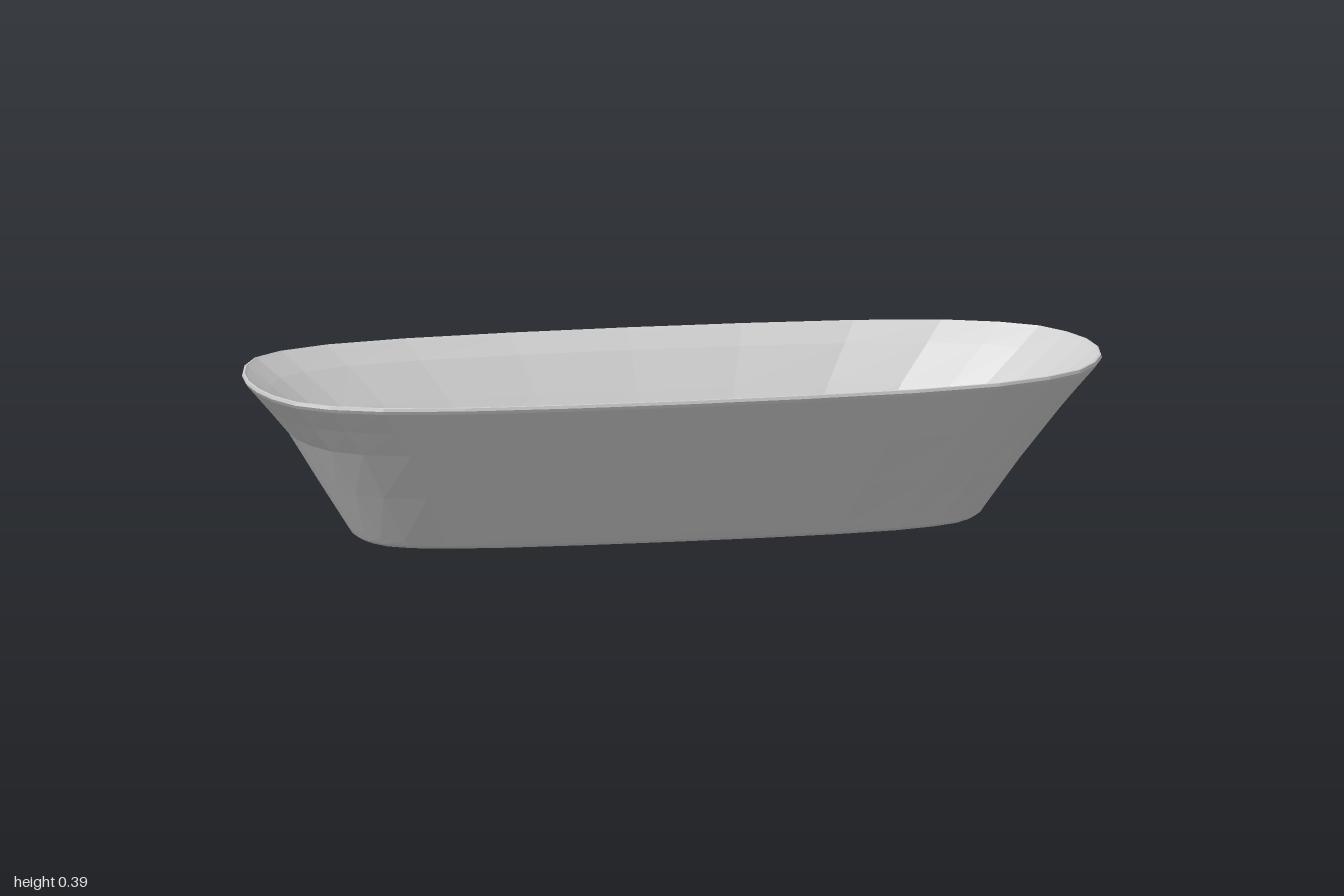
import * as THREE from 'three';

// Rim outline of the rear half as [x, z] fractions, from the right end round to
// the left end, which is a little blunter
const HALF = [
  [1, 0], [0.99, 0.22], [0.96, 0.42], [0.91, 0.605], [0.828, 0.745],
  [0.7, 0.87], [0.5, 0.95], [0.24, 0.988], [-0.03, 1], [-0.31, 0.988],
  [-0.56, 0.95], [-0.747, 0.875], [-0.864, 0.76], [-0.934, 0.615],
  [-0.973, 0.42], [-0.993, 0.22], [-1, 0],
];

// Full outline of 32 points, made by mirroring the half
const OUTLINE = [...HALF, ...HALF.slice(1, -1).reverse().map(([x, z]) => [x, -z])];

// Skin through a stack of rings, each [half length, half width, height, shift in x]
function loft(rings) {
  const n = OUTLINE.length;
  const positions = [];
  const index = [];
  for (const [a, b, y, shift] of rings) {
    for (const [x, z] of OUTLINE) positions.push(x * a + shift, y, z * b);
  }
  for (let r = 0; r < rings.length - 1; r++) {
    for (let i = 0; i < n; i++) {
      const j = (i + 1) % n;
      const p = r * n + i, q = r * n + j;
      index.push(p, p + n, q, q, p + n, q + n);
    }
  }
  const geometry = new THREE.BufferGeometry();
  geometry.setAttribute('position', new THREE.Float32BufferAttribute(positions, 3));
  geometry.setIndex(index);
  const flat = geometry.toNonIndexed();
  flat.computeVertexNormals();
  return flat;
}

export function createModel() {
  const group = new THREE.Group();
  group.name = 'dish';
  const grey = new THREE.MeshStandardMaterial({ color: 0xcccccc, flatShading: true });
  grey.name = 'grey';

  const parts = {
    // Underside and sloping outer wall, from the base centre line to the rim
    outerWall: [
      [0.6, 0, 0.002, -0.015],
      [0.68, 0.165, 0.004, -0.015],
      [0.722, 0.193, 0.01, -0.015],
      [0.735, 0.205, 0.018, -0.015],
      [0.745, 0.214, 0.033, -0.015],
      [0.82, 0.278, 0.145, -0.01],
      [0.9, 0.343, 0.26, 0],
      [0.95, 0.374, 0.32, 0],
      [0.995, 0.402, 0.372, 0],
      [1, 0.405, 0.38, 0],
    ],
    // Thin rounded lip
    rim: [
      [1, 0.405, 0.38, 0],
      [0.998, 0.403, 0.387, 0],
      [0.994, 0.4, 0.388, 0],
      [0.988, 0.394, 0.382, 0],
    ],
    // Inner wall curving down into a shallow trough
    innerBowl: [
      [0.988, 0.394, 0.382, 0],
      [0.94, 0.36, 0.343, 0],
      [0.84, 0.305, 0.26, 0],
      [0.76, 0.25, 0.175, 0],
      [0.72, 0.19, 0.132, 0],
      [0.69, 0.11, 0.1, 0],
      [0.675, 0, 0.088, 0],
    ],
  };
  for (const [name, rings] of Object.entries(parts)) {
    const mesh = new THREE.Mesh(loft(rings), grey);
    mesh.name = name;
    group.add(mesh);
  }
  return group;
}
